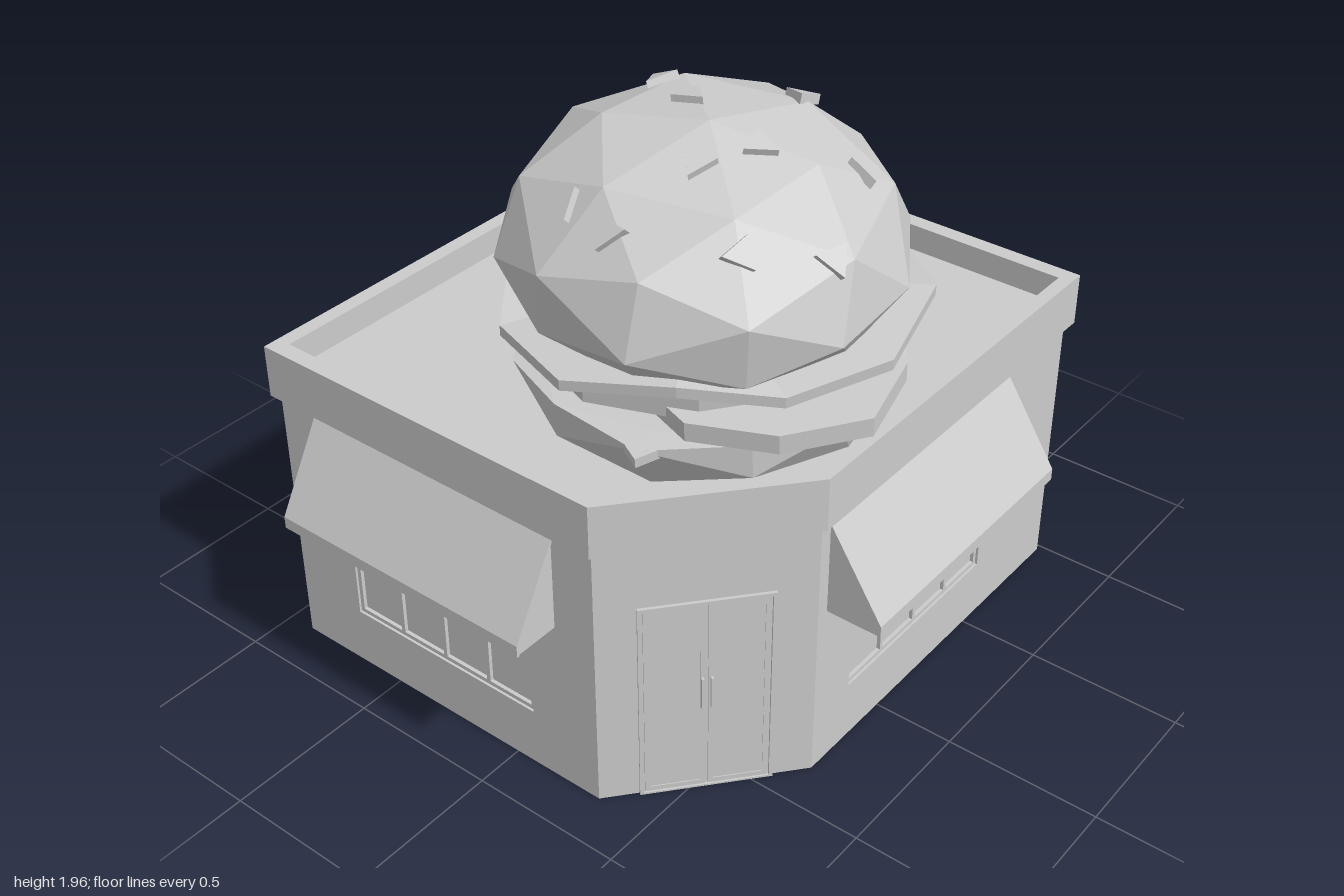
import * as THREE from 'three';

const grey = new THREE.MeshStandardMaterial({ color: 0xcccccc, flatShading: true, side: THREE.DoubleSide });

function part(name, geometry, parent, x = 0, y = 0, z = 0) {
  const mesh = new THREE.Mesh(geometry, grey);
  mesh.name = name;
  mesh.position.set(x, y, z);
  parent.add(mesh);
  return mesh;
}
const box = (name, parent, w, h, d, x, y, z) => part(name, new THREE.BoxGeometry(w, h, d), parent, x, y, z);

function group(name, parent, x = 0, y = 0, z = 0) {
  const g = new THREE.Group();
  g.name = name;
  g.position.set(x, y, z);
  parent.add(g);
  return g;
}
const rect = (x0, y0, x1, y1) => [[x0, y0], [x1, y0], [x1, y1], [x0, y1]].map(p => new THREE.Vector2(...p));
const extrude = (shape, depth) => new THREE.ExtrudeGeometry(shape, { depth, bevelEnabled: false });

// Horizontal plate from [x, z] corners, with an optional inner outline cut out
function plate(points, height, hole) {
  const toVec = ([x, z]) => new THREE.Vector2(x, -z);
  const shape = new THREE.Shape(points.map(toVec));
  if (hole) shape.holes.push(new THREE.Path(hole.map(toVec)));
  return extrude(shape, height).rotateX(-Math.PI / 2);
}

const WALL_TOP = 0.915, THICK = 0.03;
const WIN = { w: 0.73, y0: 0.2, y1: 0.69 };

// Barred window frame set into the wall opening
function addWindow(parent, cx) {
  const g = group('window', parent, cx, 0, -0.018);
  const bar = 0.014, mid = (WIN.y0 + WIN.y1) / 2;
  for (let i = 0; i < 5; i++) {
    box('windowBar', g, bar, WIN.y1 - WIN.y0, 0.02, (i / 4 - 0.5) * (WIN.w - bar), mid, 0);
  }
  for (const y of [WIN.y0 + bar / 2, WIN.y1 - bar / 2]) box('windowRail', g, WIN.w, bar, 0.02, 0, y, 0);
}

// Double door: frame, two leaves with raised rims, two handles
function addDoor(parent, cx) {
  const g = group('door', parent, cx, 0, 0);
  const frame = new THREE.Shape(rect(-0.2, 0, 0.2, 0.705));
  frame.holes.push(new THREE.Path(rect(-0.188, 0.006, 0.188, 0.693)));
  part('doorFrame', extrude(frame, 0.01), g);
  for (const s of [-1, 1]) {
    const leaf = new THREE.Shape(rect(-0.09, 0.008, 0.09, 0.69));
    leaf.holes.push(new THREE.Path(rect(-0.074, 0.024, 0.074, 0.674)));
    part('doorLeaf', extrude(leaf, 0.006), g, s * 0.094);
    box('doorGlass', g, 0.15, 0.652, 0.002, s * 0.094, 0.349, 0.002);
    box('doorHandle', g, 0.008, 0.11, 0.014, s * 0.014, 0.37, 0.011);
  }
}

// Sloped awning: roof sheet, front lip and two side panels, open below
function addAwning(parent, cx, width, depth) {
  const g = group('awning', parent, cx, 0, 0);
  const sheet = new THREE.Shape([[0, 0.9], [depth, 0.62], [depth, 0.58], [depth - 0.01, 0.58],
    [depth - 0.01, 0.615], [0, 0.885]].map(p => new THREE.Vector2(...p)));
  const side = new THREE.Shape([[0, 0.9], [depth, 0.62], [depth, 0.58], [0, 0.58]].map(p => new THREE.Vector2(...p)));
  // The profile's x axis becomes the outward direction
  part('awningSheet', extrude(sheet, width).rotateY(-Math.PI / 2), g, width / 2);
  for (const x of [-width / 2 + 0.012, width / 2 - 0.004]) {
    part('awningSide', extrude(side, 0.008).rotateY(-Math.PI / 2), g, x);
  }
}

// One outer wall; its outside faces local +z
function addWall(name, parent, length, x, z, angle, { windowAt, doorAt, awning } = {}) {
  const g = group(name, parent, x, 0, z);
  g.rotation.y = angle;
  const shape = new THREE.Shape(rect(-length / 2, 0, length / 2, WALL_TOP + 0.02));
  if (windowAt !== undefined) {
    shape.holes.push(new THREE.Path(rect(windowAt - WIN.w / 2, WIN.y0, windowAt + WIN.w / 2, WIN.y1)));
    addWindow(g, windowAt);
  }
  part('wallPanel', extrude(shape, THICK), g, 0, 0, -THICK);
  if (doorAt !== undefined) addDoor(g, doorAt);
  if (awning) addAwning(g, ...awning);
}

// Irregular disc: one radius per side, rim waved up and down
function slab(name, parent, radii, thick, [x, y, z], tiltX, tiltZ, wave = 0, turn = 0) {
  const n = radii.length, geo = new THREE.CylinderGeometry(1, 1, thick, n);
  const p = geo.attributes.position;
  for (let i = 0; i < p.count; i++) {
    const px = p.getX(i), pz = p.getZ(i);
    if (Math.hypot(px, pz) < 0.01) continue;
    const k = (Math.round(Math.atan2(px, pz) / (2 * Math.PI) * n) + n) % n;
    p.setXYZ(i, px * radii[k], p.getY(i) + wave * Math.sin(k * 2.1), pz * radii[k]);
  }
  geo.rotateY(turn);
  geo.computeVertexNormals();
  const mesh = part(name, geo, parent, x, y, z);
  mesh.rotation.set(tiltX, 0, tiltZ);
}

// Squashed faceted ball with separate upper and lower heights and a flat cut
function bunGeometry(radius, up, down, cutUp, cutDown) {
  const geo = new THREE.IcosahedronGeometry(1, 1), p = geo.attributes.position;
  for (let i = 0; i < p.count; i++) {
    const y = THREE.MathUtils.clamp(p.getY(i), -cutDown, cutUp);
    p.setXYZ(i, p.getX(i) * radius, y * (y > 0 ? up : down), p.getZ(i) * radius);
  }
  geo.rotateY(0.3);
  geo.computeVertexNormals();
  return geo;
}

function addBurger(parent) {
  const g = group('burger', parent);
  const cx = 0.2, cz = 0.19;
  const lower = part('bottomBun', bunGeometry(0.57, 0.03, 0.32, 0.3, 0.8), g, cx + 0.02, 1.25, cz - 0.01);
  lower.rotation.set(0.05, 0, 0);

  // Fillings from bottom to top
  slab('cheese', g, [0.6, 0.57, 0.6, 0.56], 0.03, [cx, 1.265, cz], 0.1, -0.02, 0.01, 0.35);
  const slice = [0.38, 0.36, 0.39, 0.37, 0.38, 0.36, 0.38, 0.37, 0.39];
  slab('tomatoSlice', g, slice, 0.06, [0.0, 1.31, 0.24], 0.03, -0.05);
  slab('tomatoSlice', g, slice, 0.06, [0.49, 1.31, 0.27], 0.06, -0.02);
  slab('tomatoSlice', g, slice, 0.06, [0.27, 1.34, -0.02], 0.05, 0.03);
  slab('patty', g, [0.53, 0.5, 0.52, 0.5, 0.53, 0.51, 0.5, 0.52, 0.5, 0.53], 0.1, [cx, 1.39, cz], 0.09, -0.07);
  slab('lettuce', g, [0.62, 0.55, 0.56, 0.63, 0.64, 0.6, 0.6, 0.68, 0.54, 0.68, 0.55, 0.6], 0.035,
    [cx, 1.44, cz], 0.07, -0.07, 0.03);

  // Top bun, leaning toward the street corner, with seeds set on its facets
  const top = group('topBun', g, cx, 1.565, cz);
  top.rotation.set(0.09, 0, -0.1);
  const bun = part('bunCrown', bunGeometry(0.585, 0.385, 0.24, 1, 0.53), top);
  bun.updateMatrixWorld();
  const ray = new THREE.Raycaster();
  const seeds = [[-0.06, 0.06], [0.1, 0.13], [0.29, -0.12], [0.38, 0.2], [0.58, -0.01],
    [0.3, 0.36], [0.54, 0.49], [0.06, 0.6], [0.23, 0.63], [0.7, 0.3]];
  const local = new THREE.Mesh(bun.geometry, grey);
  seeds.forEach(([x, z], i) => {
    ray.set(new THREE.Vector3(x - cx - 0.03, 2, z - cz - 0.03), new THREE.Vector3(0, -1, 0));
    const hit = ray.intersectObject(local)[0];
    if (!hit) return;
    const normal = hit.face.normal.clone();
    if (normal.y < 0) normal.negate();
    const seed = part('seed', new THREE.CylinderGeometry(0.055, 0.055, 0.03, 3).rotateY(i * 1.3), top);
    seed.position.copy(hit.point).addScaledVector(normal, 0.006);
    seed.quaternion.setFromUnitVectors(new THREE.Vector3(0, 1, 0), normal);
  });
}

export function createModel() {
  const model = new THREE.Group();
  model.name = 'burgerRestaurant';

  // Walls around a plan with one cut corner
  const shop = group('building', model);
  addWall('frontWall', shop, 1.225, -0.2925, 0.84, 0, { windowAt: 0, awning: [0, 0.94, 0.16] });
  addWall('leftWall', shop, 1.33, 0.735, -0.315, Math.PI / 2, { windowAt: -0.12, awning: [-0.15, 0.95, 0.185] });
  addWall('backWall', shop, 1.64, -0.085, -0.98, Math.PI, { windowAt: 0.21, doorAt: -0.485 });
  addWall('rightWall', shop, 1.82, -0.905, -0.07, -Math.PI / 2, { windowAt: -0.125 });
  addWall('cornerWall', shop, 0.642, 0.5275, 0.595, Math.atan2(0.49, 0.415), { doorAt: 0 });

  // Crossing blocks that fill the window openings
  const h = WIN.y1 - WIN.y0, y = (WIN.y0 + WIN.y1) / 2;
  box('windowGlass', shop, WIN.w, h, 1.78, -0.295, y, -0.07);
  box('windowGlass', shop, 1.6, h, WIN.w, -0.085, y, -0.195);

  // Parapet ring and sunken flat roof
  const outer = [[-0.93, -1], [0.76, -1], [0.76, 0.36], [0.33, 0.86], [-0.93, 0.86]];
  const inner = [[-0.88, -0.945], [0.715, -0.945], [0.715, 0.34], [0.315, 0.805], [-0.88, 0.805]];
  part('parapet', plate(outer, 0.175, inner), shop, 0, WALL_TOP, 0);
  part('roof', plate(inner, 0.085), shop, 0, WALL_TOP, 0);

  addBurger(model);
  return model;
}
